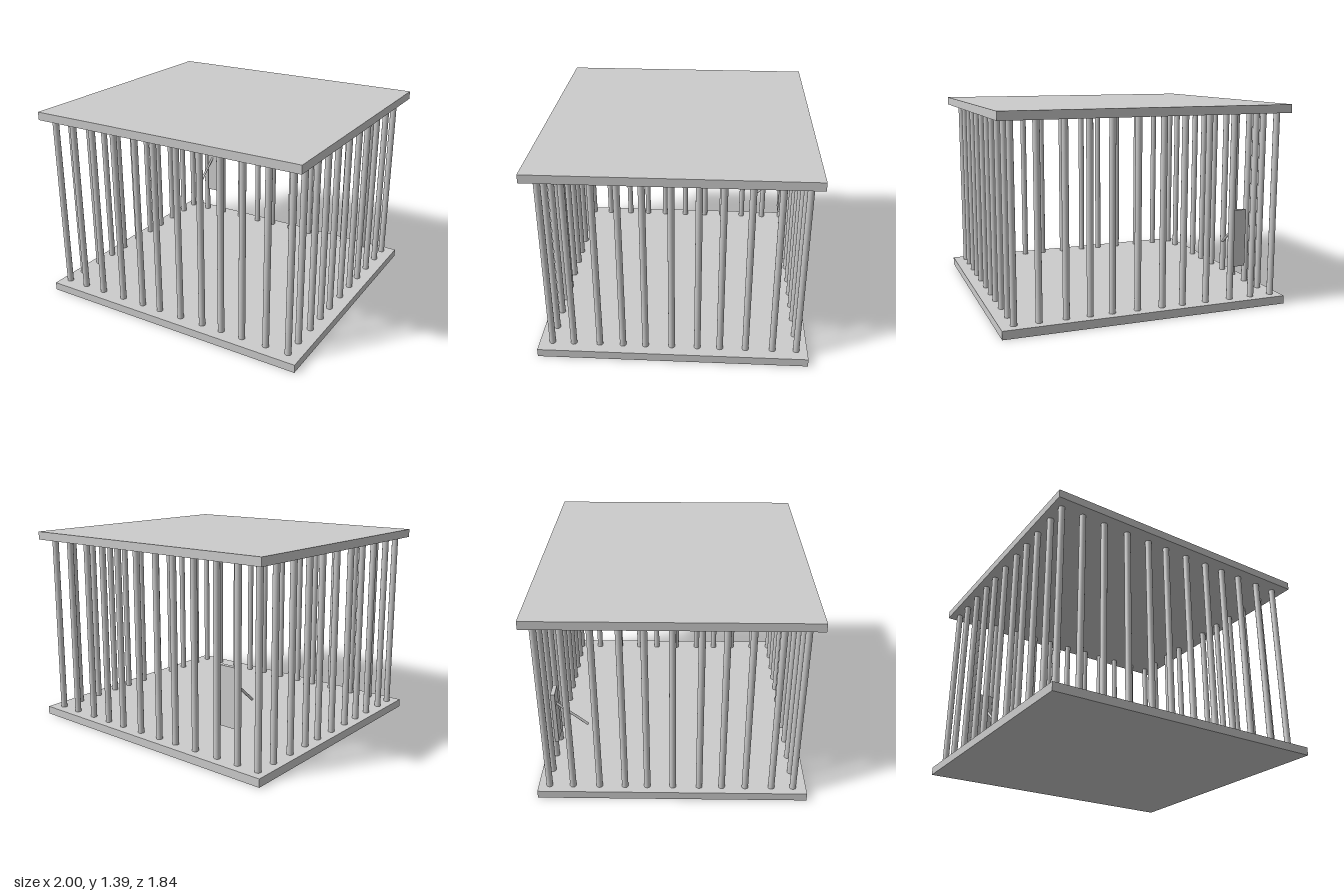
import * as THREE from 'three';

export function createModel() {
  const model = new THREE.Group();
  const material = new THREE.MeshStandardMaterial({ color: 0xcccccc });

  function add(parent, name, geometry, x, y, z) {
    const mesh = new THREE.Mesh(geometry, material);
    mesh.name = name;
    mesh.position.set(x, y, z);
    parent.add(mesh);
    return mesh;
  }

  // Floor and roof slabs
  const plate = 0.057, height = 1.387, depth = 1.836;
  const slab = new THREE.BoxGeometry(2, plate, depth);
  add(model, 'floor', slab, 0, plate / 2, 0);
  add(model, 'roof', slab, 0, height - plate / 2, 0);

  // Slightly uneven rows of round bars on all four sides
  const rowX = [-0.933, -0.775, -0.61, -0.425, -0.25, -0.1, 0.077, 0.254, 0.406, 0.567, 0.746, 0.909];
  const rowZ = [0.68, 0.5, 0.34, 0.185, 0.005, -0.17, -0.323, -0.498, -0.68];
  const frontZ = 0.828, backZ = -0.842;
  const bar = new THREE.CylinderGeometry(0.022, 0.022, height - 2 * plate, 24);
  const bars = new THREE.Group();
  bars.name = 'bars';
  model.add(bars);
  for (const x of rowX) {
    add(bars, 'frontBar', bar, x, height / 2, frontZ);
    add(bars, 'backBar', bar, x, height / 2, backZ);
  }
  for (const z of rowZ) {
    add(bars, 'rightBar', bar, rowX[0], height / 2, z);
    add(bars, 'leftBar', bar, rowX[rowX.length - 1], height / 2, z);
  }

  // Lock plate inside the back bars, with a slanted lever
  const lock = new THREE.Group();
  lock.name = 'lock';
  model.add(lock);
  add(lock, 'lockPlate', new THREE.BoxGeometry(0.115, 0.397, 0.028), -0.676, 0.473, -0.806);
  const start = new THREE.Vector3(-0.69, 0.58, -0.8);
  const end = new THREE.Vector3(-0.69, 0.398, -0.585);
  const dir = end.clone().sub(start);
  const mid = start.clone().add(end).multiplyScalar(0.5);
  const lever = add(lock, 'lever', new THREE.CylinderGeometry(0.009, 0.009, dir.length(), 16), mid.x, mid.y, mid.z);
  lever.quaternion.setFromUnitVectors(new THREE.Vector3(0, 1, 0), dir.normalize());

  return model;
}
